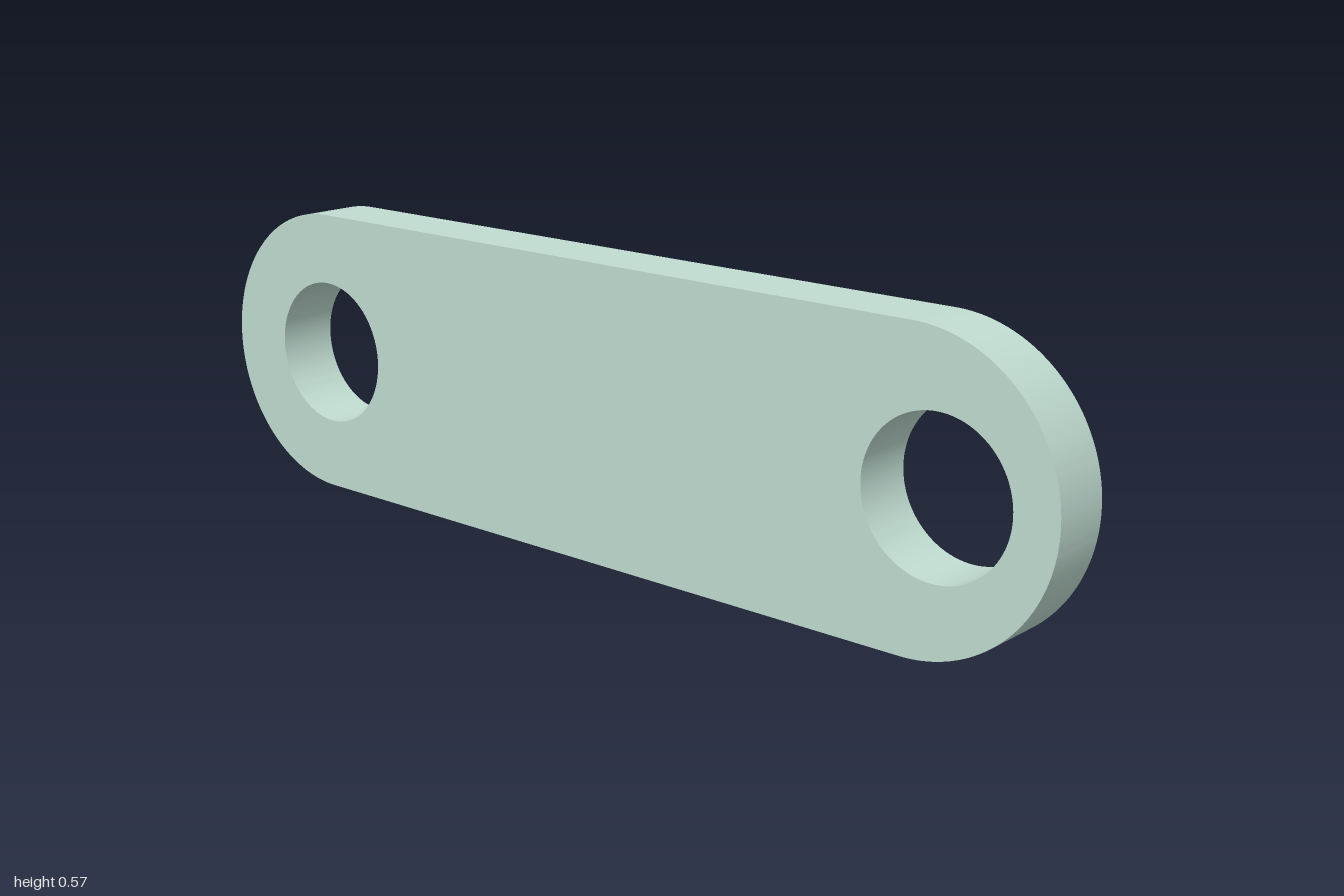
import * as THREE from 'three';
import { toCreasedNormals } from 'three/addons/utils/BufferGeometryUtils.js';

export function createModel() {
  const group = new THREE.Group();
  const radius = 0.2875, thickness = 0.126, holeRadius = 0.146;
  const end = 1 - radius;

  // Stadium outline, drawn with shape x running towards the back (-z)
  const outline = new THREE.Shape();
  outline.absarc(end, radius, radius, -Math.PI / 2, Math.PI / 2, false);
  outline.absarc(-end, radius, radius, Math.PI / 2, Math.PI * 1.5, false);
  outline.closePath();

  // Pin holes: the back one is concentric with its end, the front one sits further out
  for (const x of [0.711, -0.769]) {
    const hole = new THREE.Path();
    hole.absarc(x, radius, holeRadius, 0, Math.PI * 2, true);
    outline.holes.push(hole);
  }

  // Flat plate with smooth rounded walls and sharp rims
  let geometry = new THREE.ExtrudeGeometry(outline, { depth: thickness, bevelEnabled: false, curveSegments: 48 });
  geometry.translate(0, 0, -thickness / 2);
  geometry.rotateY(Math.PI / 2);
  geometry = toCreasedNormals(geometry, 0.5);

  const plate = new THREE.Mesh(geometry, new THREE.MeshStandardMaterial({ color: 0xc0dcd1 }));
  plate.name = 'linkPlate';
  group.add(plate);
  return group;
}
